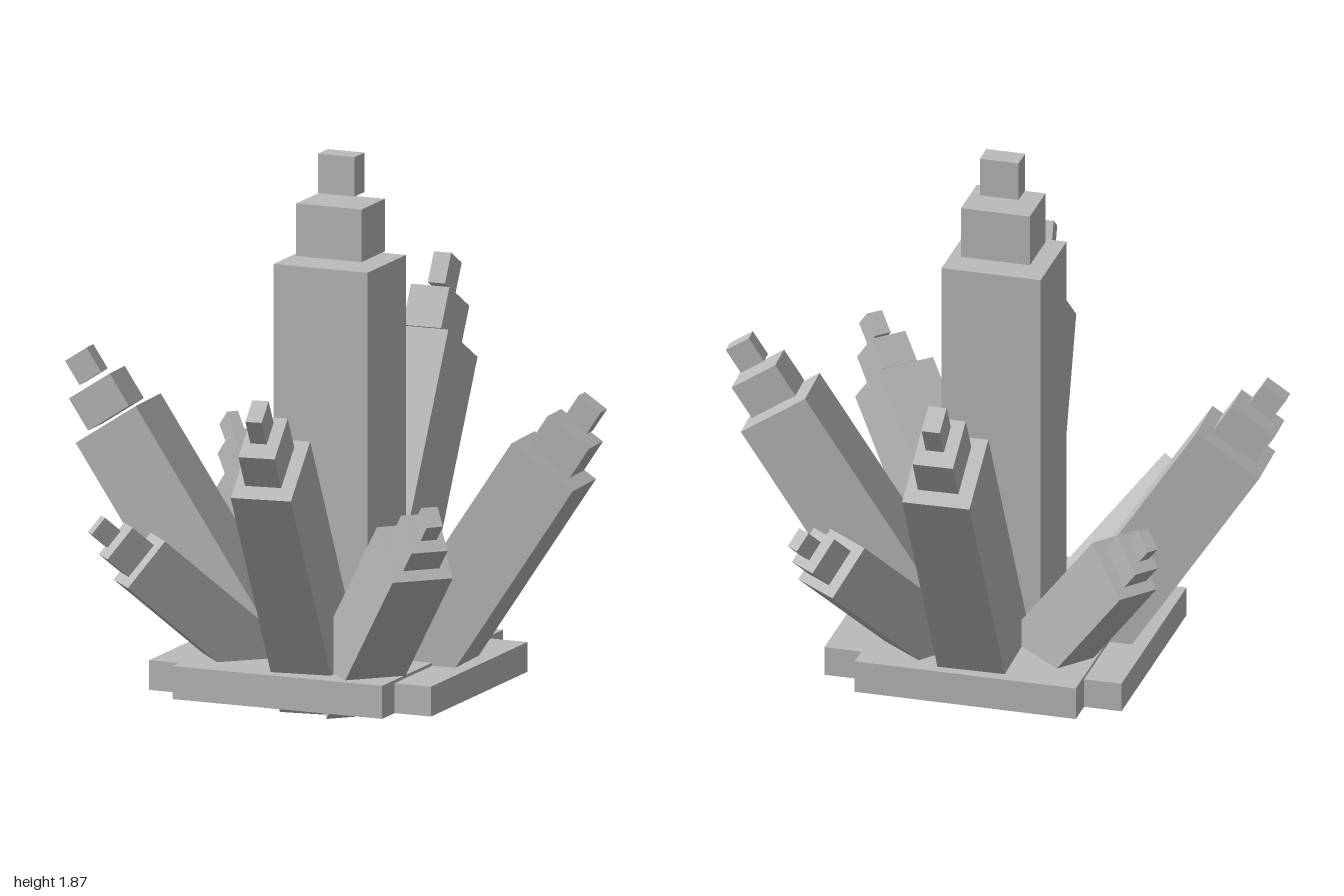
import * as THREE from 'three';

export function createModel() {
  const model = new THREE.Group();
  model.name = 'crystalCluster';
  const stone = new THREE.MeshStandardMaterial({ color: 0xbbbbbb });
  stone.name = 'grey stone';

  const box = (parent, name, size, pos) => {
    const mesh = new THREE.Mesh(new THREE.BoxGeometry(...size), stone);
    mesh.name = name;
    mesh.position.set(...pos);
    parent.add(mesh);
  };

  // Two crossed slabs form the base
  box(model, 'baseSlabDeep', [0.77, 0.113, 0.985], [0, 0.123, -0.003]);
  box(model, 'baseSlabWide', [1.035, 0.102, 0.786], [0.002, 0.118, -0.003]);

  // Central upright crystal: shaft and two floating caps
  box(model, 'centreShaft', [0.345, 1.4, 0.315], [0.007, 0.81, -0.003]);
  box(model, 'centreMiddleCap', [0.24, 0.18, 0.19], [0.01, 1.62, -0.003]);
  box(model, 'centreTip', [0.135, 0.135, 0.08], [0.0125, 1.807, -0.003]);

  // Leaning crystals, each placed by the centre of its shaft's upper end.
  // lean is the horizontal direction [x, z], tilt is in degrees from upright,
  // w is the radial width, d the tangential width, s the size of the caps.
  const crystals = [
    { name: 'left', top: [0.776, 0.88, -0.04], lean: [1, -0.045], tilt: 33.5, w: 0.265, d: 0.21, len: 0.94, s: 0.7 },
    { name: 'right', top: [-0.79, 0.904, 0.034], lean: [-1, 0.035], tilt: 33.5, w: 0.26, d: 0.222, len: 0.97, s: 0.7 },
    { name: 'front', top: [0.108, 0.953, 0.785], lean: [0.14, 1], tilt: 34.5, w: 0.28, d: 0.21, len: 1.035, s: 0.77 },
    { name: 'back', top: [-0.018, 1.075, -0.8], lean: [-0.026, -1], tilt: 29.7, w: 0.29, d: 0.233, len: 1.11, s: 0.81 },
    { name: 'frontLeft', top: [0.58, 0.685, 0.655], lean: [0.7, 0.71], tilt: 47, w: 0.22, d: 0.215, len: 0.87, s: 0.62 },
    { name: 'frontRight', top: [-0.508, 0.53, 0.487], lean: [-0.73, 0.68], tilt: 49, w: 0.2, d: 0.15, len: 0.65, s: 0.55 },
    { name: 'backLeft', top: [0.434, 0.585, -0.607], lean: [0.6, -0.8], tilt: 47.5, w: 0.2, d: 0.19, len: 0.75, s: 0.52 },
    { name: 'backRight', top: [-0.553, 0.652, -0.488], lean: [-0.77, -0.63], tilt: 43, w: 0.22, d: 0.15, len: 0.75, s: 0.55 },
  ];

  for (const { name, top, lean, tilt, w, d, len, s } of crystals) {
    const crystal = new THREE.Group();
    crystal.name = name + 'Crystal';
    crystal.position.set(...top);
    crystal.rotation.set(0, Math.atan2(-lean[1], lean[0]), -THREE.MathUtils.degToRad(tilt));
    box(crystal, name + 'Shaft', [w, len, d], [0, -len / 2, 0]);
    box(crystal, name + 'MiddleCap', [w * 0.68, 0.18 * s, d * 0.6], [0, 0.11 * s, 0]);
    box(crystal, name + 'Tip', [w * 0.36, 0.135 * s, d * 0.27], [0, 0.2975 * s, 0]);
    model.add(crystal);
  }
  return model;
}
